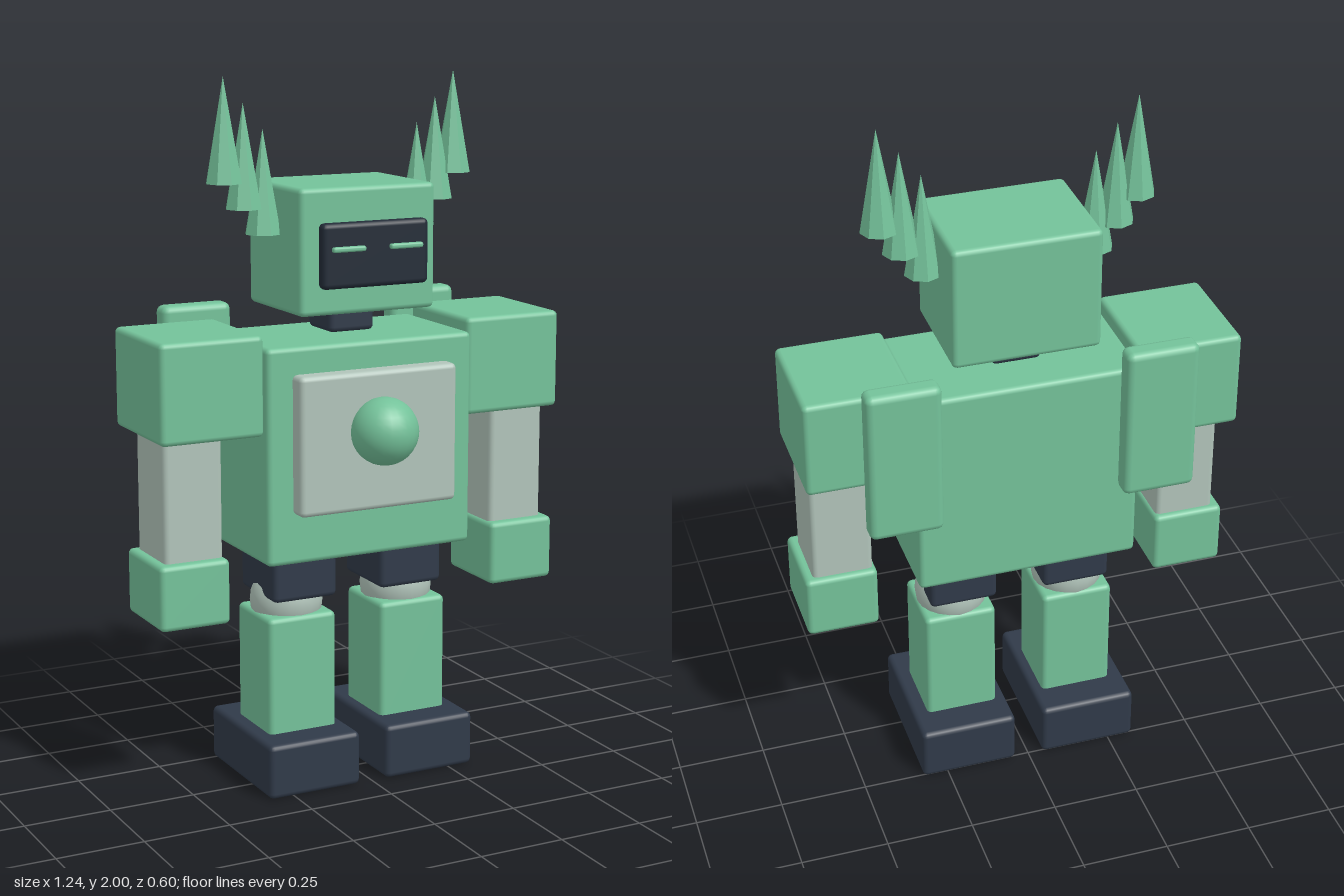
import * as THREE from 'three';
import { RoundedBoxGeometry } from 'three/addons/geometries/RoundedBoxGeometry.js';

const paint = (color, flatShading = false) => {
  const m = new THREE.MeshStandardMaterial({ color, flatShading });
  return m;
};

export function createModel() {
  const model = new THREE.Group();
  model.name = 'robot';
  const green = paint(0x74c29a);
  const greenFlat = paint(0x74c29a, true);
  const grey = paint(0xb1c4ba);
  const dark = paint(0x303a49);
  const black = paint(0x222b37);
  const midZ = -0.06;

  const add = (name, geometry, material, x, y, z) => {
    const mesh = new THREE.Mesh(geometry, material);
    mesh.name = name;
    mesh.position.set(x, y, z);
    model.add(mesh);
    return mesh;
  };

  // Bevelled block given by its [min, max] ranges
  const block = (name, material, [x0, x1], [y0, y1], [z0, z1], bevel = 0.015) =>
    add(name, new RoundedBoxGeometry(x1 - x0, y1 - y0, z1 - z0, 2, bevel), material,
      (x0 + x1) / 2, (y0 + y1) / 2, (z0 + z1) / 2);

  // The same block on both sides, given for the +x side
  const pair = (name, material, [x0, x1], ys, zs, bevel) => {
    block(name + 'Left', material, [x0, x1], ys, zs, bevel);
    block(name + 'Right', material, [-x1, -x0], ys, zs, bevel);
  };

  // Torso and chest
  block('torso', green, [-0.318, 0.318], [0.67, 1.28], [-0.245, 0.125]);
  block('chestPlate', grey, [-0.243, 0.243], [0.813, 1.205], [0.115, 0.178]);
  add('chestOrb', new THREE.SphereGeometry(0.095, 24, 16), green, 0, 1.04, 0.203);

  // Neck, head and face
  block('neck', dark, [-0.07, 0.07], [1.288, 1.4], [-0.13, 0.01]);
  block('head', green, [-0.208, 0.208], [1.355, 1.705], [-0.225, 0.107]);
  block('visor', black, [-0.163, 0.163], [1.433, 1.613], [0.117, 0.155]);
  pair('eye', green, [0.038, 0.138], [1.535, 1.55], [0.152, 0.17], 0.006);

  // Arms and back panels
  pair('shoulder', green, [0.317, 0.62], [1.035, 1.315], [-0.227, 0.105]);
  pair('arm', grey, [0.424, 0.597], [0.68, 1.05], [-0.138, 0.06]);
  pair('hand', green, [0.415, 0.622], [0.515, 0.7], [-0.157, 0.087]);
  pair('backPanel', green, [0.258, 0.467], [0.903, 1.355], [-0.302, -0.235], 0.02);

  // Legs
  pair('hip', dark, [0.07, 0.267], [0.54, 0.69], [-0.172, 0.052]);
  pair('leg', green, [0.072, 0.282], [0.13, 0.495], [-0.165, 0.05]);
  pair('foot', dark, [0.042, 0.325], [0, 0.157], [-0.262, 0.143]);

  for (const side of [1, -1]) {
    const tag = side > 0 ? 'Left' : 'Right';

    // Ball joints
    add('shoulderJoint' + tag, new THREE.SphereGeometry(0.11, 20, 14), dark, side * 0.36, 1.133, midZ);
    add('kneeJoint' + tag, new THREE.SphereGeometry(0.105, 20, 14), grey, side * 0.177, 0.522, midZ);

    // Crest of spikes, climbing outwards
    for (let i = 0; i < 3; i++) {
      add('crestSpike' + tag + (i + 1), new THREE.ConeGeometry(0.052, 0.288, 8), greenFlat,
        side * (0.24 + i * 0.058), 1.712 + i * 0.072, midZ);
    }
  }
  return model;
}
